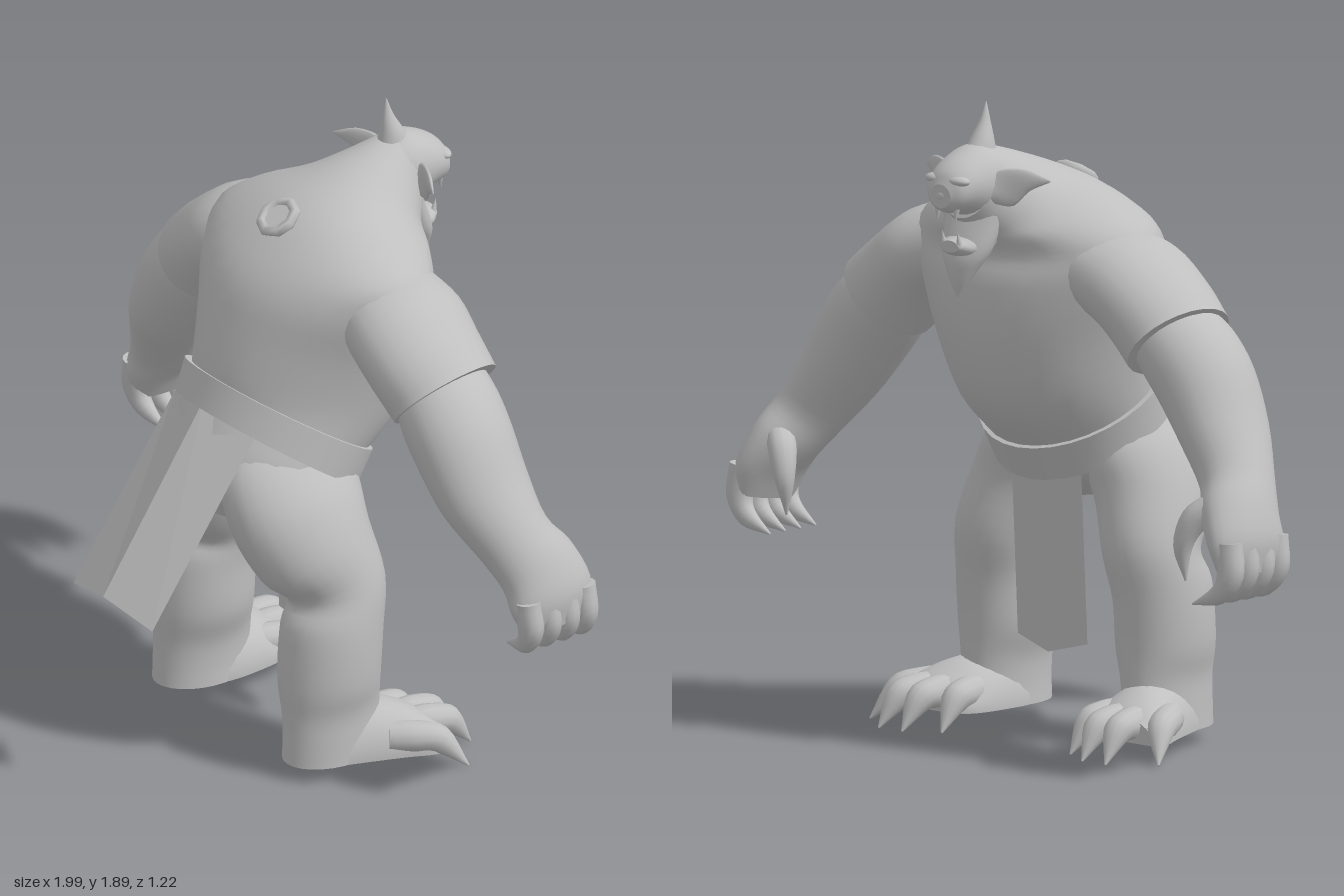
import * as THREE from 'three';

const V = (x, y, z) => new THREE.Vector3(x, y, z);
const grey = new THREE.MeshStandardMaterial({ color: 0xbfbfbf });
grey.name = 'stone grey';
const cloth = grey.clone();
cloth.name = 'cloth grey';
cloth.side = THREE.DoubleSide;

// Skin over elliptical rings {c, u, v}: centre and two half axes; flat caps at both ends.
// Points under the floor height are pressed flat onto it.
function loft(rings, steps = 4, sides = 24, floor = -1) {
  const curve = k => new THREE.CatmullRomCurve3(rings.map(r => r[k]), false, 'catmullrom');
  const [cc, cu, cv] = ['c', 'u', 'v'].map(curve);
  const n = (rings.length - 1) * steps;
  const pos = [], idx = [], loops = [];
  const along = rings[rings.length - 1].c.clone().sub(rings[0].c);
  const flip = rings[0].u.clone().cross(rings[0].v).dot(along) < 0 ? -1 : 1;
  for (let i = 0; i <= n; i++) {
    const c = cc.getPoint(i / n), u = cu.getPoint(i / n), v = cv.getPoint(i / n);
    const loop = [];
    for (let j = 0; j < sides; j++) {
      const a = (j / sides) * Math.PI * 2;
      const p = c.clone().addScaledVector(u, Math.cos(a)).addScaledVector(v, flip * Math.sin(a));
      p.y = Math.max(p.y, floor);
      loop.push(p);
      pos.push(p.x, p.y, p.z);
      if (i < n) {
        const k = (j + 1) % sides, A = i * sides + j, B = i * sides + k;
        idx.push(A, B, B + sides, A, B + sides, A + sides);
      }
    }
    loops.push(loop);
  }
  for (const end of [0, n]) {
    const base = pos.length / 3, c = cc.getPoint(end / n);
    pos.push(c.x, Math.max(c.y, floor), c.z);
    loops[end].forEach(p => pos.push(p.x, p.y, p.z));
    for (let j = 0; j < sides; j++) {
      const A = base + 1 + j, B = base + 1 + ((j + 1) % sides);
      if (end) idx.push(base, A, B); else idx.push(base, B, A);
    }
  }
  const g = new THREE.BufferGeometry();
  g.setAttribute('position', new THREE.Float32BufferAttribute(pos, 3));
  g.setIndex(idx);
  g.computeVertexNormals();
  return g;
}

// Limb along stations [x, y, z, radius across, radius along ref]
function limb(stations, ref, steps, sides) {
  const pts = stations.map(s => V(s[0], s[1], s[2]));
  return loft(stations.map((s, i) => {
    const t = pts[Math.min(i + 1, pts.length - 1)].clone().sub(pts[Math.max(i - 1, 0)]).normalize();
    const v = ref.clone().addScaledVector(t, -ref.dot(t)).normalize();
    return { c: pts[i], u: v.clone().cross(t).multiplyScalar(s[3]), v: v.multiplyScalar(s[4]) };
  }), steps, sides);
}

// Rings given by two opposite points in the middle plane and a half width: [z1, y1, z2, y2, w, x]
const body = (rows, steps, sides, floor) => loft(rows.map(([z1, y1, z2, y2, w, x = 0]) => ({
  c: V(x, (y1 + y2) / 2, (z1 + z2) / 2),
  u: V(w, 0, 0),
  v: V(0, (y2 - y1) / 2, (z2 - z1) / 2),
})), steps, sides, floor);

// Cloth panel folded along its middle; rows are [half width, edge y, edge z, middle y, middle z]
function panel(rows) {
  const pos = [];
  const [a, b] = rows.map(([w, ey, ez, my, mz]) => [[-w, ey, ez], [0, my, mz], [w, ey, ez]]);
  for (let i = 0; i < 2; i++) {
    pos.push(...a[i], ...b[i], ...b[i + 1], ...a[i], ...b[i + 1], ...a[i + 1]);
  }
  const g = new THREE.BufferGeometry();
  g.setAttribute('position', new THREE.Float32BufferAttribute(pos, 3));
  g.computeVertexNormals();
  return g;
}

export function createModel() {
  const model = new THREE.Group();
  const X = V(1, 0, 0), Z = V(0, 0, 1);
  const add = (name, geometry, material = grey) => {
    const m = new THREE.Mesh(geometry, material);
    m.name = name;
    model.add(m);
    return m;
  };
  const ball = (name, x, y, z, rx, ry, rz) => {
    const m = add(name, new THREE.SphereGeometry(1, 20, 14));
    m.position.set(x, y, z);
    m.scale.set(rx, ry, rz);
    return m;
  };

  // Hunched torso, from the belt to the neck
  add('torso', body([
    [0.22, 1.12, -0.2, 0.82, 0.275], [0.215, 1.2, -0.38, 0.99, 0.3],
    [0.18, 1.33, -0.45, 1.19, 0.345], [0.13, 1.46, -0.455, 1.36, 0.4],
    [0.05, 1.56, -0.43, 1.45, 0.41], [-0.06, 1.65, -0.45, 1.5, 0.31],
    [-0.2, 1.71, -0.47, 1.52, 0.19], [-0.34, 1.755, -0.5, 1.55, 0.12],
    [-0.42, 1.775, -0.52, 1.57, 0.095],
  ], 4, 32));
  // Hips under the belt
  add('hips', body([
    [0.24, 1.12, -0.18, 0.83, 0.27], [0.3, 1.01, -0.17, 0.78, 0.275],
    [0.325, 0.91, -0.13, 0.74, 0.24], [0.26, 0.78, -0.06, 0.7, 0.16],
  ]));

  // Sloping belt and hanging cloths
  add('belt', body([[0.265, 1.1, -0.215, 0.765, 0.298], [0.23, 1.195, -0.27, 0.865, 0.305]], 1, 32));
  add('backCloth', panel([[0.19, 1.07, 0.205, 1.12, 0.25], [0.19, 0.55, 0.575, 0.595, 0.61]]), cloth);
  add('frontCloth', panel([[0.135, 0.86, -0.15, 0.84, -0.17], [0.135, 0.285, -0.12, 0.25, -0.14]]), cloth);

  // Medallion on the upper back
  const ring = add('medallionRing', new THREE.TorusGeometry(0.054, 0.017, 6, 8));
  const disc = add('medallionDisc', new THREE.CylinderGeometry(0.045, 0.045, 0.012, 8).rotateX(Math.PI / 2));
  for (const m of [ring, disc]) {
    m.position.set(0, 1.632, -0.018);
    m.rotation.x = -0.98;
  }

  // Head: skull, open jaw wrapped in a pointed beard, crest, nose
  add('skull', body([
    [-0.36, 1.75, -0.36, 1.57, 0.09], [-0.45, 1.78, -0.45, 1.56, 0.1],
    [-0.53, 1.755, -0.53, 1.585, 0.09], [-0.58, 1.72, -0.58, 1.595, 0.07],
    [-0.602, 1.68, -0.602, 1.61, 0.04],
  ]));
  add('jaw', body([
    [-0.44, 1.57, -0.44, 1.46, 0.078], [-0.52, 1.52, -0.52, 1.455, 0.066],
    [-0.562, 1.51, -0.562, 1.475, 0.035],
  ]));
  add('beard', body([
    [-0.4, 1.62, -0.48, 1.62, 0.105], [-0.42, 1.5, -0.54, 1.48, 0.088],
    [-0.47, 1.42, -0.545, 1.41, 0.05], [-0.525, 1.34, -0.53, 1.34, 0.004],
  ]));
  add('crest', limb([
    [0, 1.74, -0.43, 0.055, 0.045], [0, 1.79, -0.42, 0.036, 0.034],
    [0, 1.84, -0.41, 0.018, 0.016], [0, 1.895, -0.405, 0.002, 0.002],
  ], X));
  ball('nose', 0, 1.645, -0.585, 0.028, 0.022, 0.02);

  for (const s of [1, -1]) {
    const side = s > 0 ? 'left' : 'right';
    const mirror = rows => rows.map(([x, ...rest]) => [x * s, ...rest]);
    const pair = (name, rows, ref, steps, sides) => add(side + name, limb(mirror(rows), ref, steps, sides));

    // Brow, ear and teeth
    ball(side + 'Brow', s * 0.04, 1.69, -0.57, 0.042, 0.016, 0.025);
    pair('Ear', [
      [0.08, 1.65, -0.46, 0.03, 0.04], [0.125, 1.665, -0.45, 0.012, 0.055],
      [0.18, 1.69, -0.425, 0.01, 0.032], [0.24, 1.69, -0.395, 0.002, 0.003],
    ], V(0, 1, 0), 3, 12);
    pair('UpperTooth', [[0.035, 1.61, -0.57, 0.012, 0.012], [0.035, 1.57, -0.575, 0.001, 0.001]], Z, 1, 8);
    pair('LowerTooth', [[0.03, 1.49, -0.55, 0.012, 0.012], [0.03, 1.535, -0.56, 0.001, 0.001]], Z, 1, 8);

    // Sleeve, arm and hand
    pair('Sleeve', [
      [0.24, 1.43, -0.2, 0.125, 0.165], [0.38, 1.385, -0.19, 0.14, 0.19],
      [0.48, 1.31, -0.19, 0.143, 0.185], [0.56, 1.235, -0.2, 0.148, 0.175],
    ], Z);
    pair('Arm', [
      [0.52, 1.27, -0.2, 0.12, 0.14], [0.595, 1.2, -0.19, 0.135, 0.155],
      [0.665, 1.115, -0.19, 0.135, 0.155], [0.745, 0.99, -0.205, 0.117, 0.145],
      [0.83, 0.865, -0.245, 0.1, 0.118], [0.88, 0.785, -0.29, 0.09, 0.13],
      [0.922, 0.7, -0.31, 0.072, 0.14], [0.935, 0.62, -0.32, 0.045, 0.115],
    ], Z);
    pair('Thumb', [
      [0.85, 0.82, -0.35, 0.04, 0.045], [0.8, 0.77, -0.395, 0.04, 0.043],
      [0.773, 0.69, -0.415, 0.028, 0.03], [0.775, 0.59, -0.405, 0.003, 0.003],
    ], Z, 4, 12);
    for (const z of [-0.21, -0.275, -0.34, -0.405]) {
      pair('Finger', [
        [0.945, 0.72, z, 0.04, 0.038], [0.953, 0.63, z - 0.005, 0.042, 0.036],
        [0.915, 0.568, z - 0.012, 0.03, 0.027], [0.82, 0.53, z - 0.02, 0.003, 0.003],
      ], Z, 4, 12);
    }

    // Leg with heavy thigh and calf
    pair('Leg', [
      [0.13, 1.0, 0.05, 0.09, 0.16], [0.155, 0.91, 0.07, 0.127, 0.215],
      [0.205, 0.8, 0.07, 0.15, 0.215], [0.252, 0.68, 0.04, 0.152, 0.187],
      [0.287, 0.56, -0.013, 0.138, 0.148], [0.303, 0.45, 0.015, 0.138, 0.155],
      [0.305, 0.3, 0.027, 0.136, 0.157], [0.31, 0.2, 0.025, 0.112, 0.155],
      [0.313, 0.12, 0.025, 0.108, 0.155], [0.313, 0.05, 0.025, 0.11, 0.157],
    ], Z, 4, 28);

    // Flat-soled foot and four clawed toes fanning outward
    add(side + 'Foot', body([
      [0.12, 0.16, 0.12, -0.06, 0.08, s * 0.315], [0, 0.2, 0, -0.1, 0.118, s * 0.32],
      [-0.12, 0.19, -0.12, -0.09, 0.14, s * 0.345], [-0.2, 0.158, -0.2, -0.06, 0.15, s * 0.37],
      [-0.25, 0.125, -0.25, -0.02, 0.13, s * 0.38],
    ], 4, 28, 0.05));
    for (const [x0, x1, x2, z2] of [
      [0.28, 0.26, 0.25, -0.32], [0.34, 0.345, 0.35, -0.38],
      [0.4, 0.425, 0.44, -0.38], [0.43, 0.51, 0.56, -0.285],
    ]) {
      pair('Toe', [
        [x0, 0.105, z2 + 0.19, 0.045, 0.045], [(x0 + x1) / 2, 0.103, z2 + 0.13, 0.047, 0.046],
        [x1, 0.088, z2 + 0.065, 0.04, 0.04], [x2, 0.005, z2, 0.003, 0.003],
      ], X, 4, 12);
    }
  }
  return model;
}
